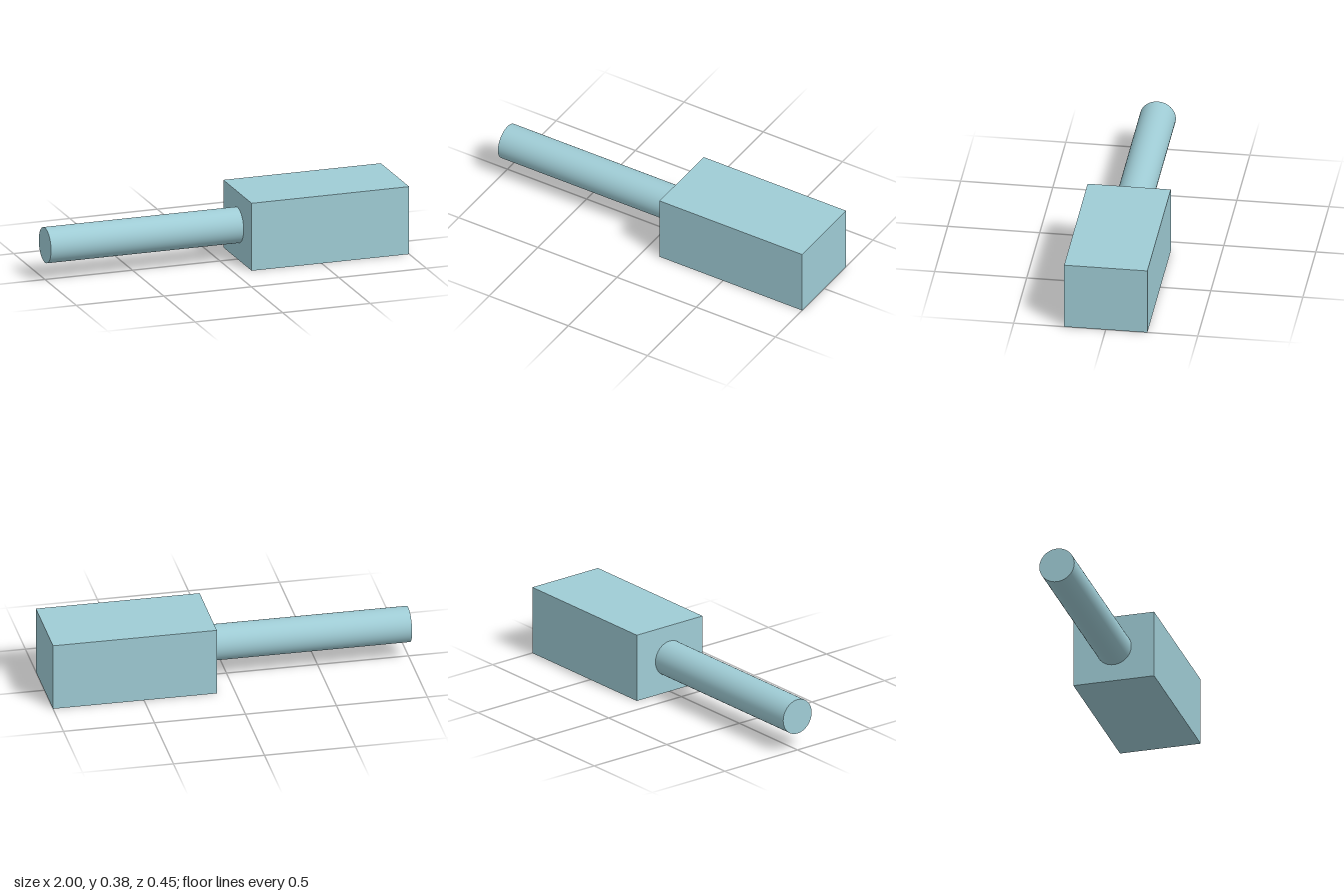
import * as THREE from 'three';

export function createModel() {
  const model = new THREE.Group();
  model.name = 'mallet';
  const paleTeal = new THREE.MeshStandardMaterial({ color: 0x9fccd5 });
  paleTeal.name = 'paleTeal';

  const height = 0.38;
  const joint = 0.1; // x where the handle meets the head

  // Rectangular head
  const head = new THREE.Mesh(new THREE.BoxGeometry(1 - joint, height, 0.452), paleTeal);
  head.name = 'head';
  head.position.set((1 + joint) / 2, height / 2, 0);

  // Round handle lying along x
  const length = 1 + joint;
  const handleShape = new THREE.CylinderGeometry(0.098, 0.098, length, 48).rotateZ(Math.PI / 2);
  const handle = new THREE.Mesh(handleShape, paleTeal);
  handle.name = 'handle';
  handle.position.set(-1 + length / 2, height / 2 + 0.003, 0);

  model.add(head, handle);
  return model;
}
